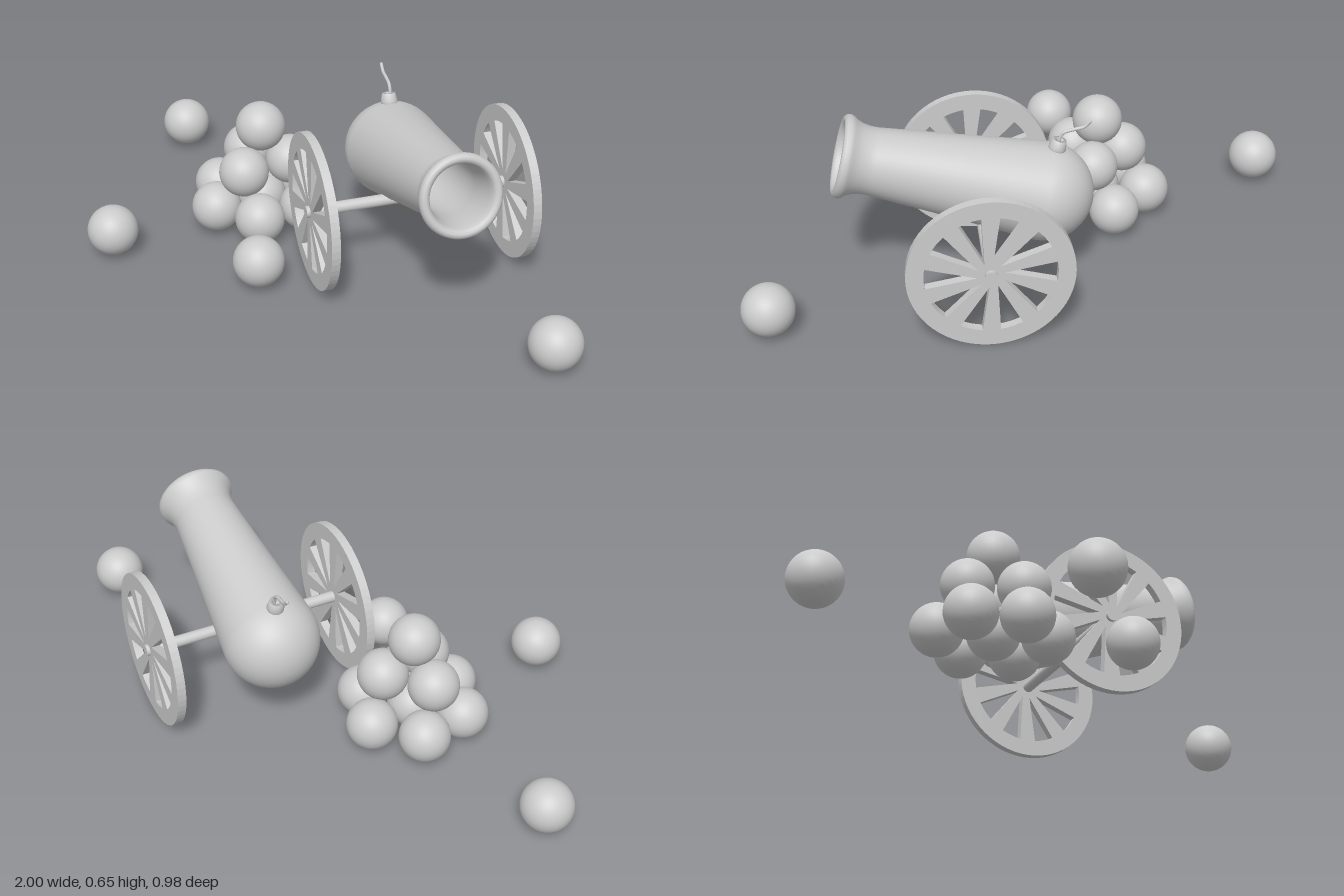
import * as THREE from 'three';

const material = new THREE.MeshStandardMaterial({ color: 0xcccccc });

function part(name, geometry, parent) {
  const mesh = new THREE.Mesh(geometry, material);
  mesh.name = name;
  parent.add(mesh);
  return mesh;
}

// Flat disc wheel with ten wedge-shaped windows between the spokes; axis along x
function wheelGeometry(radius, thickness) {
  const shape = new THREE.Shape();
  shape.absarc(0, 0, radius, 0, Math.PI * 2, false);
  const inner = 0.045, outer = 0.212, half = 0.175;
  for (let i = 0; i < 10; i++) {
    const a = (i / 10) * Math.PI * 2;
    const hole = new THREE.Path();
    hole.moveTo(inner * Math.cos(a - half), inner * Math.sin(a - half));
    hole.absarc(0, 0, outer, a - half, a + half, false);
    hole.lineTo(inner * Math.cos(a + half), inner * Math.sin(a + half));
    hole.closePath();
    shape.holes.push(hole);
  }
  const geometry = new THREE.ExtrudeGeometry(shape, { depth: thickness, bevelEnabled: false, curveSegments: 32 });
  return geometry.translate(0, 0, -thickness / 2).rotateY(Math.PI / 2);
}

// Domed breech, tapering tube, flared lip and hollow bore
function barrelGeometry() {
  const r = 0.166, points = [];
  for (let i = 0; i <= 16; i++) {
    const a = -Math.PI / 2 + (i / 16) * (Math.PI / 2 + 0.09);
    points.push(new THREE.Vector2(Math.max(r * Math.cos(a), 0), r * Math.sin(a)));
  }
  const muzzle = [
    [0.137, 0.3], [0.111, 0.58], [0.112, 0.605], [0.117, 0.63], [0.126, 0.65],
    [0.134, 0.66], [0.138, 0.671], [0.136, 0.683], [0.129, 0.691], [0.12, 0.693],
    [0.111, 0.689], [0.105, 0.68], [0.1, 0.66], [0.094, 0.62], [0.09, 0.56], [0.088, 0.25], [0, 0.25],
  ];
  muzzle.forEach(([x, y]) => points.push(new THREE.Vector2(x, y)));
  return new THREE.LatheGeometry(points, 48);
}

export function createModel() {
  const model = new THREE.Group();
  model.name = 'cannonWithBalls';

  // Cannon, turned to point between front and left
  const cannon = new THREE.Group();
  cannon.name = 'cannon';
  cannon.position.set(0.247, 0, -0.042);
  cannon.rotation.y = Math.PI / 4;
  model.add(cannon);

  // Barrel raised by 15 degrees
  const barrel = new THREE.Group();
  barrel.name = 'barrelGroup';
  barrel.position.set(0, 0.345, -0.209);
  barrel.rotation.x = THREE.MathUtils.degToRad(75);
  cannon.add(barrel);
  part('barrel', barrelGeometry(), barrel);

  // Fuse holder and fuse
  const vent = [[0, 0.14], [0.029, 0.14], [0.029, 0.172], [0.023, 0.198], [0.012, 0.198], [0.012, 0.18], [0, 0.18]];
  part('fuseHolder', new THREE.LatheGeometry(vent.map(([x, y]) => new THREE.Vector2(x, y)), 20), barrel)
    .rotation.x = -Math.PI / 2;
  const fusePath = new THREE.CatmullRomCurve3(
    [[0.52, -0.255], [0.543, -0.259], [0.564, -0.271], [0.574, -0.303], [0.582, -0.338], [0.601, -0.358]]
      .map(([y, z]) => new THREE.Vector3(0.005, y, z)));
  part('fuse', new THREE.TubeGeometry(fusePath, 32, 0.006, 8), cannon);
  part('fuseTip', new THREE.SphereGeometry(0.006, 8, 6), cannon).position.copy(fusePath.getPoint(1));

  // Axle and wheels
  part('axle', new THREE.CylinderGeometry(0.02, 0.02, 0.75, 24), cannon).rotation.z = Math.PI / 2;
  cannon.getObjectByName('axle').position.y = 0.271;
  for (const side of [-1, 1]) {
    part(side > 0 ? 'leftWheel' : 'rightWheel', wheelGeometry(0.269, 0.03), cannon)
      .position.set(side * 0.348, 0.271, 0);
  }

  // Cannonballs: stacked pile, then loose ones (x, y, z)
  const pile = [
    [-0.457, 0.1, -0.22], [-0.272, 0.1, -0.22], [-0.545, 0.1, -0.064], [-0.367, 0.1, -0.064],
    [-0.188, 0.1, -0.064], [-0.46, 0.1, 0.09], [-0.28, 0.1, 0.09],
    [-0.452, 0.24, -0.12], [-0.275, 0.24, -0.12], [-0.37, 0.24, 0.042],
    [-0.365, 0.373, -0.07],
  ];
  const loose = [[-0.913, 0.1, -0.404], [-0.694, 0.1, 0.398], [-0.142, 0.1, 0.33], [0.911, 0.1, 0.297]];
  const ballGeometry = new THREE.SphereGeometry(0.088, 32, 20);
  for (const [name, balls] of [['stackedBall', pile], ['looseBall', loose]]) {
    balls.forEach(([x, y, z], i) => part(name + (i + 1), ballGeometry, model).position.set(x, y, z));
  }
  return model;
}
